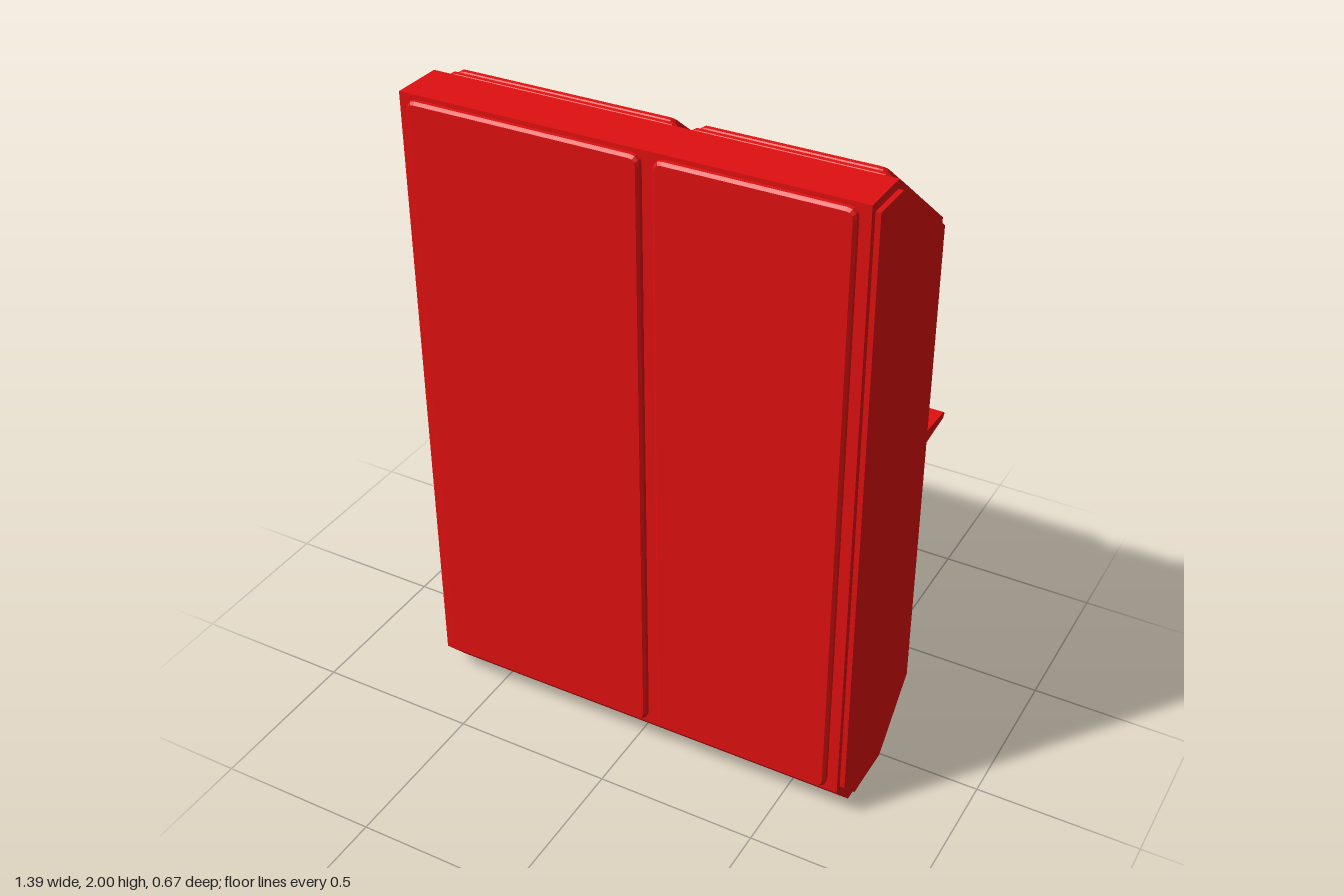
import * as THREE from 'three';

const material = new THREE.MeshStandardMaterial({ color: 0xe01010, flatShading: true });

// Mesh from a (z, y) outline stretched along x
function slab(group, name, outline, x0, x1) {
  const shape = new THREE.Shape(outline.map(([z, y]) => new THREE.Vector2(-z, y)));
  const geo = new THREE.ExtrudeGeometry(shape, { depth: x1 - x0, bevelEnabled: false });
  geo.rotateY(Math.PI / 2).translate(x0, 0, 0);
  const mesh = new THREE.Mesh(geo, material);
  mesh.name = name;
  group.add(mesh);
  return mesh;
}

// Thin plate with rounded corners and a chamfered rim, lying in xy and rising along +z
function plate(group, name, w, h, d) {
  const r = 0.02, b = 0.008, a = w / 2 - b, c = h / 2 - b;
  const s = new THREE.Shape();
  s.moveTo(-a + r, -c);
  s.lineTo(a - r, -c).quadraticCurveTo(a, -c, a, -c + r);
  s.lineTo(a, c - r).quadraticCurveTo(a, c, a - r, c);
  s.lineTo(-a + r, c).quadraticCurveTo(-a, c, -a, c - r);
  s.lineTo(-a, -c + r).quadraticCurveTo(-a, -c, -a + r, -c);
  const geo = new THREE.ExtrudeGeometry(s, {
    depth: d - b, bevelThickness: b, bevelSize: b, bevelSegments: 1, curveSegments: 3,
  });
  const mesh = new THREE.Mesh(geo, material);
  mesh.name = name;
  group.add(mesh);
  return mesh;
}

// Plate with an additional narrow border strip around it
function framedPlate(group, name, w, h, d) {
  const panel = new THREE.Group();
  panel.name = name;
  plate(panel, name + 'Border', w, h, d * 0.5);
  plate(panel, name + 'Face', w - 0.03, h - 0.03, d);
  group.add(panel);
  return panel;
}

const BACK = -0.17;
const consoleNotch = [[BACK, 1.40], [-0.02, 1.32], [-0.02, 1.13], [BACK, 1.06]];
const screenNotch = [[BACK, 1.37], [-0.115, 1.36], [-0.135, 1.07], [BACK, 1.065]];
const footNotch = [[-0.155, 0.185], [-0.10, 0.235], [0.055, 0.07], [0.005, 0.017]];

// Cabinet cross-section with optional hollows in its rear
const cabinet = (notch = [], foot = []) => [
  [0.31, 0.10], [0.31, 2.0], [0.15, 2.0], [BACK, 1.75], ...notch,
  [BACK, 0.20], ...foot, [0.02, 0], [0.22, 0],
];

// Wedge-shaped rear panel: the top and bottom edges can stand out differently
function rearPanel(group, name, x0, x1, yTop, yBottom, zTop, zBottom) {
  const back = BACK + 0.02;
  return slab(group, name, [[back, yBottom], [back, yTop], [zTop, yTop], [zBottom, yBottom]], x0, x1);
}

export function createModel() {
  const model = new THREE.Group();
  model.name = 'controlCabinet';

  // Cabinet body, cut into upright slices so hollows end at the ribs
  const body = new THREE.Group();
  body.name = 'body';
  model.add(body);
  slab(body, 'rightCheek', cabinet(consoleNotch), -0.68, -0.65);
  slab(body, 'rightBay', cabinet(consoleNotch, footNotch), -0.65, 0.055);
  slab(body, 'centreRib', cabinet(), 0.055, 0.095);
  slab(body, 'leftBay', cabinet(screenNotch, footNotch), 0.095, 0.65);
  slab(body, 'leftCheek', cabinet(), 0.65, 0.68);

  // Side covers, the right one stepping around the console opening
  const cover = (notch) => [
    [0.29, 0.11], [0.29, 1.975], [0.155, 1.975], [-0.15, 1.74], ...notch,
    [-0.15, 0.21], [0.03, 0.025], [0.21, 0.025],
  ];
  slab(model, 'leftCover', cover([]), 0.68, 0.695);
  slab(model, 'rightCover',
    cover([[-0.15, 1.41], [0.0, 1.335], [0.0, 1.115], [-0.15, 1.05]]), -0.695, -0.68);

  // Door panels on the front and matching panels on the sloped roof
  const slope = Math.atan2(0.25, 0.32);
  for (const [side, x0, x1] of [['right', -0.65, 0.055], ['left', 0.093, 0.648]]) {
    const cx = (x0 + x1) / 2, w = x1 - x0;
    plate(model, side + 'Door', w, 1.87, 0.02).position.set(cx, 1.052, 0.31);

    const roof = framedPlate(model, side + 'RoofPanel', w, 0.37, 0.027);
    roof.position.set(cx, 1.875, -0.01);
    // Turn the plate to face up and backwards
    roof.rotation.set(Math.PI / 2 - slope, Math.PI, 0, 'YXZ');
    roof.rotation.x = -(Math.PI / 2 - slope);

    // Inset panel in the foot hollow
    const foot = plate(model, side + 'FootPanel', w - 0.05, 0.18, 0.012);
    foot.position.set(cx, 0.152, -0.022);
    foot.rotation.set(Math.PI / 4, Math.PI, 0, 'YXZ');
  }

  // Rear instrument panels
  const rear = new THREE.Group();
  rear.name = 'rearPanels';
  model.add(rear);
  rearPanel(rear, 'leftUpperPanel', 0.315, 0.648, 1.74, 1.59, -0.20, -0.176);
  rearPanel(rear, 'leftUpperInnerPanel', 0.10, 0.30, 1.74, 1.59, -0.185, -0.176);
  rearPanel(rear, 'leftMiddlePanel', 0.315, 0.648, 1.57, 1.41, -0.19, -0.176);
  rearPanel(rear, 'leftMiddleInnerPanel', 0.10, 0.30, 1.57, 1.41, -0.185, -0.176);
  rearPanel(rear, 'rightUpperPanel', -0.645, 0.05, 1.74, 1.58, -0.20, -0.176);
  for (const [x0, x1] of [[-0.645, -0.305], [-0.29, 0.05]]) {
    rearPanel(rear, 'rightButtonPanel', x0, x1, 1.565, 1.495, -0.19, -0.176);
    rearPanel(rear, 'rightButtonPanel', x0, x1, 1.48, 1.415, -0.185, -0.176);
  }

  // Lower rear: flat strip, leaning panel, flat strip and louvred vent
  for (const [side, x0, x1] of [['right', -0.65, 0.055], ['left', 0.098, 0.65]]) {
    rearPanel(rear, side + 'UpperStrip', x0 + 0.01, x1 - 0.01, 0.99, 0.86, -0.177, -0.177);
    rearPanel(rear, side + 'LeaningPanel', x0, x1, 0.845, 0.70, -0.172, -0.212);
    rearPanel(rear, side + 'LowerStrip', x0 + 0.01, x1 - 0.01, 0.68, 0.565, -0.176, -0.176);
    const slats = 10, top = 0.53, pitch = 0.03;
    for (let i = 0; i < slats; i++) {
      const y = top - i * pitch;
      rearPanel(rear, side + 'Louvre', x0 + 0.015, x1 - 0.015, y, y - pitch * 0.75, -0.171, -0.182);
    }
  }

  // Screen in the left bay with its side fins
  const screen = plate(model, 'screen', 0.50, 0.25, 0.012);
  screen.position.set(0.372, 1.215, -0.125);
  screen.rotation.set(-0.07, Math.PI, 0, 'YXZ');
  const fin = [[-0.15, 1.05], [-0.15, 1.385], [-0.20, 1.385], [-0.177, 1.05]];
  slab(model, 'innerFin', fin, 0.075, 0.095);
  slab(model, 'outerFin', fin, 0.645, 0.662);

  // Tapered shelf under the screen
  slab(model, 'shelf', [
    [-0.15, 1.01], [-0.15, 1.062], [-0.325, 1.053], [-0.335, 1.045], [-0.325, 1.033], [-0.20, 1.018],
  ], 0.08, 0.675);

  // Console opening: back panel, sloping desk plate and vent slits under the hood
  const consolePanel = plate(model, 'consoleBackPanel', 0.64, 0.15, 0.012);
  consolePanel.position.set(-0.30, 1.225, -0.02);
  consolePanel.rotation.y = Math.PI;
  slab(model, 'desk', [[-0.165, 1.05], [-0.03, 1.115], [-0.035, 1.137], [-0.172, 1.077]], -0.64, 0.045);
  for (const start of [-0.60, -0.14]) {
    for (let i = 0; i < 4; i++) {
      const slit = new THREE.Mesh(new THREE.BoxGeometry(0.012, 0.012, 0.09), material);
      slit.name = 'hoodSlit';
      slit.position.set(start + i * 0.045, 1.36, -0.095);
      slit.rotation.set(Math.atan2(0.08, 0.15), 0.3, 0);
      model.add(slit);
    }
  }
  return model;
}
